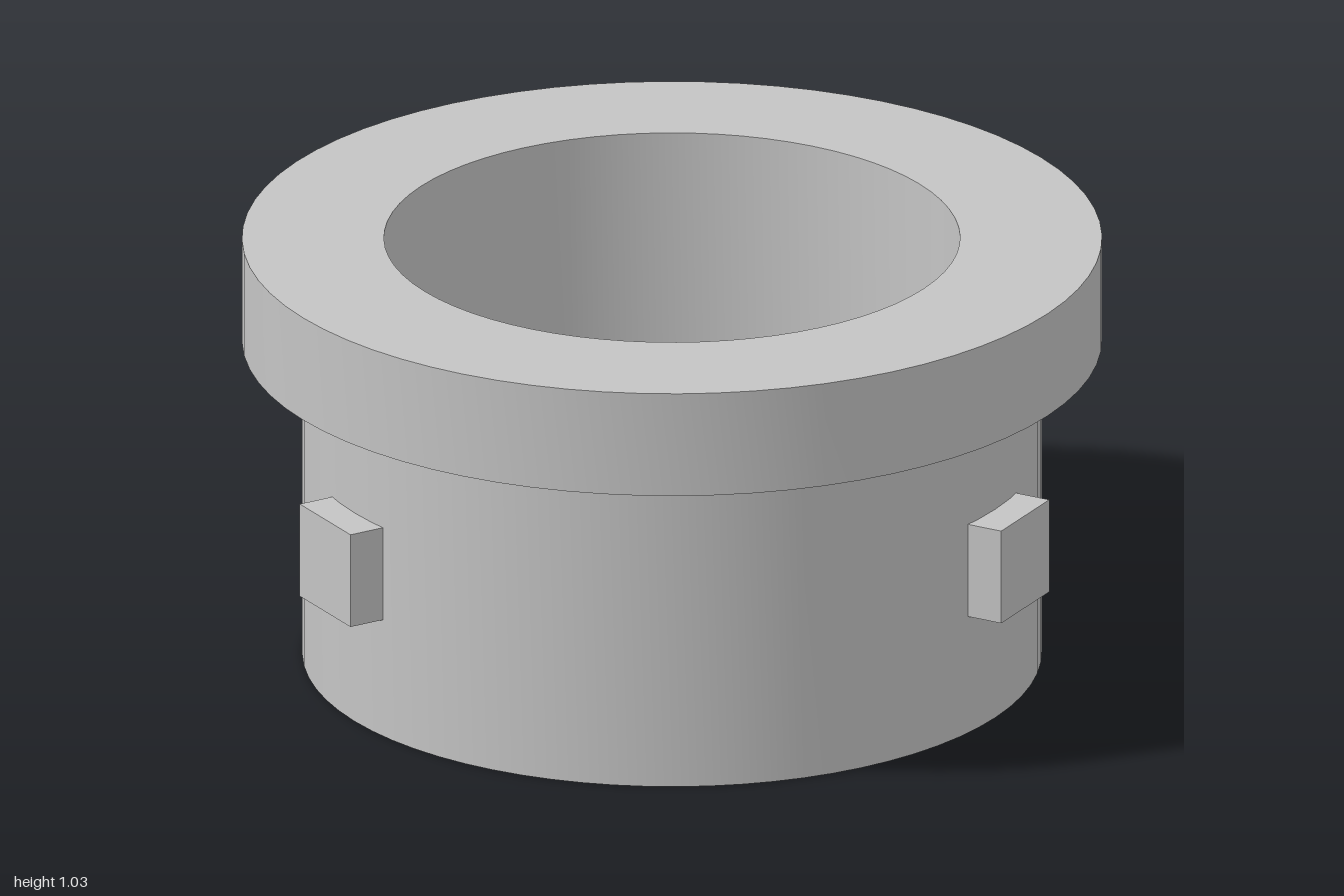
import * as THREE from 'three';
import { toCreasedNormals } from 'three/addons/utils/BufferGeometryUtils.js';

export function createModel() {
  const model = new THREE.Group();
  model.name = 'flangedCollar';
  const grey = new THREE.MeshStandardMaterial({ color: 0xc4c4c4 });
  grey.name = 'plain grey';

  const bore = 0.67, sleeve = 0.86, flange = 1, flangeBase = 0.78, height = 1.035;

  // Hollow sleeve with a wide flange on top, one closed profile
  const profile = [
    [bore, 0], [sleeve, 0], [sleeve, flangeBase], [flange, flangeBase],
    [flange, height], [bore, height], [bore, 0],
  ].map(([r, y]) => new THREE.Vector2(r, y));
  const collar = new THREE.Mesh(
    toCreasedNormals(new THREE.LatheGeometry(profile, 72), 0.5), grey);
  collar.name = 'flangedSleeve';
  model.add(collar);

  // Three locking lugs evenly spaced round the sleeve
  const inner = 0.8, outer = 0.94, lugSize = 0.23;
  const lugGeometry = new THREE.BoxGeometry(outer - inner, lugSize, lugSize);
  lugGeometry.translate((inner + outer) / 2, 0.405, 0);
  for (let i = 0; i < 3; i++) {
    const lug = new THREE.Mesh(lugGeometry, grey);
    lug.name = `lockingLug${i + 1}`;
    lug.rotation.y = (i * Math.PI * 2) / 3;
    model.add(lug);
  }
  return model;
}
